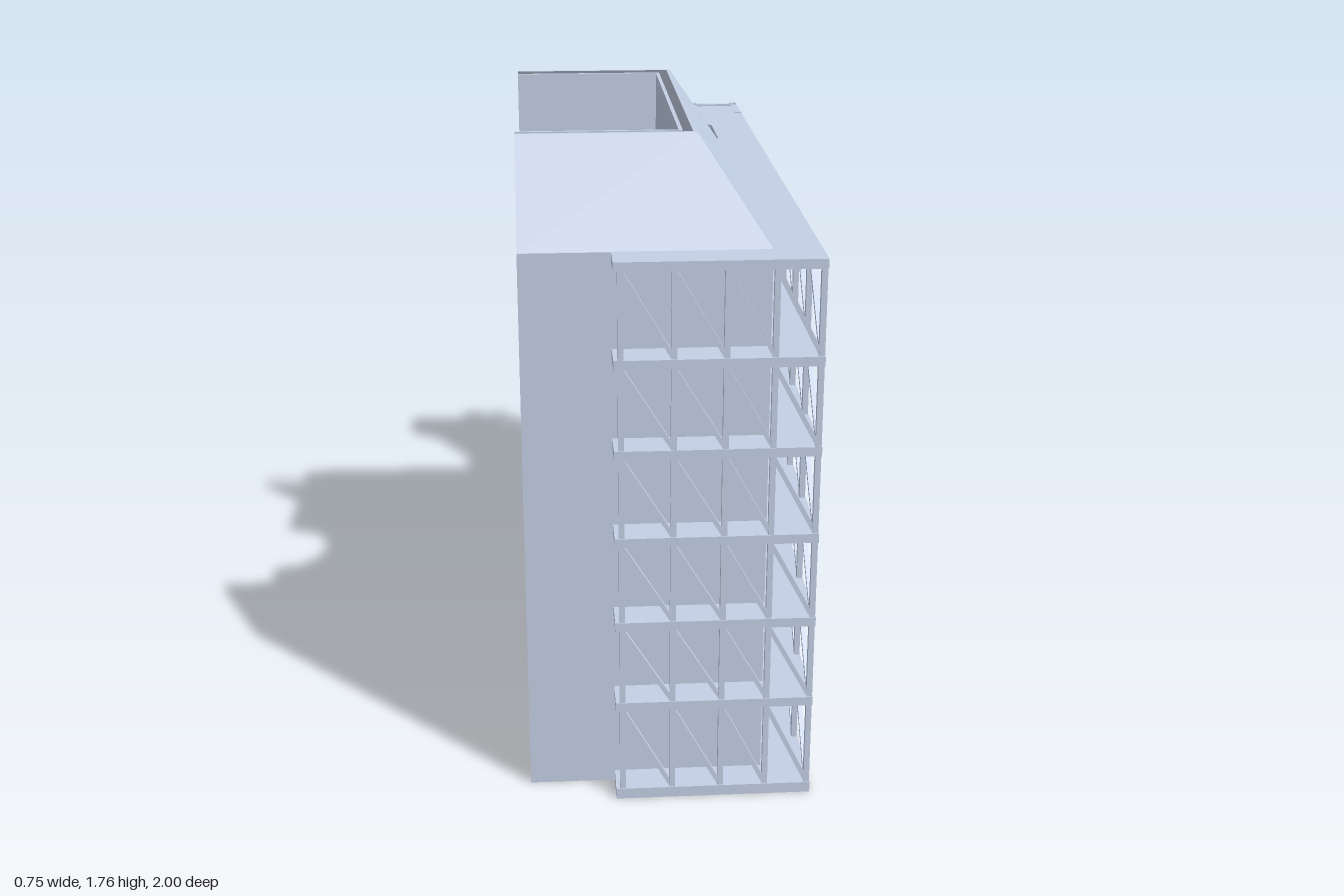
import * as THREE from 'three';
import { mergeGeometries } from 'three/addons/utils/BufferGeometryUtils.js';

const steel = new THREE.MeshStandardMaterial({ color: 0xc4d0e6, side: THREE.DoubleSide });
steel.name = 'paleBlueGrey';

const V = (x, y, z) => new THREE.Vector3(x, y, z);
const levels = [0.03, 0.293, 0.53, 0.77, 1.01, 1.25, 1.5]; // deck tops
const deckT = 0.025;

// square bar between two points
function rod(a, b, w = 0.012) {
  const g = new THREE.BoxGeometry(w, w, a.distanceTo(b));
  const o = new THREE.Object3D();
  o.position.copy(a).add(b).multiplyScalar(0.5);
  o.lookAt(b);
  o.updateMatrix();
  return g.applyMatrix4(o.matrix);
}

// box from min and max corners
function block(x0, x1, y0, y1, z0, z1) {
  return new THREE.BoxGeometry(x1 - x0, y1 - y0, z1 - z0)
    .translate((x0 + x1) / 2, (y0 + y1) / 2, (z0 + z1) / 2);
}

// horizontal plate from an outline in x and z
function plate(shape, top, t, seg = 8) {
  return new THREE.ExtrudeGeometry(shape, { depth: t, bevelEnabled: false, curveSegments: seg })
    .rotateX(Math.PI / 2).translate(0, top, 0);
}

const outline = (pts) => new THREE.Shape(pts.map((p) => new THREE.Vector2(p[0], p[1])));

// floor of the hall with a round bite out of its open side
function bitten(r) {
  const s = outline([[-0.38, -0.4], [0.25, -0.4], [0.25, 0.91], [-0.38, 0.91], [-0.38, 0.29 + r]]);
  s.absarc(-0.38, 0.29, r, Math.PI / 2, -Math.PI / 2, true);
  return s;
}

// sloped roof sheet: a U-shaped path lofted through rings
function roofSheet() {
  const ring = (y, x, zf, zb) => [V(-0.38, y, zf), V(x, y, zf), V(x, y, zb), V(-0.38, y, zb)];
  const rings = [
    ring(1.5, 0.25, 0.905, -0.325), ring(1.76, 0.075, 0.745, -0.18),
    ring(1.76, 0.065, 0.735, -0.17), ring(1.5, 0.238, 0.893, -0.313),
  ];
  const pos = [];
  for (let r = 0; r < 3; r++) {
    for (let i = 0; i < 3; i++) {
      const [a, b, c, d] = [rings[r][i], rings[r][i + 1], rings[r + 1][i + 1], rings[r + 1][i]];
      for (const p of [a, b, c, a, c, d]) pos.push(p.x, p.y, p.z);
    }
  }
  for (const i of [0, 3]) { // sheet ends on the open side
    const [a, b, c, d] = rings.map((q) => q[i]);
    const tris = i ? [a, b, c, a, c, d] : [a, c, b, a, d, c];
    for (const p of tris) pos.push(p.x, p.y, p.z);
  }
  const g = new THREE.BufferGeometry();
  g.setAttribute('position', new THREE.Float32BufferAttribute(pos, 3));
  g.computeVertexNormals();
  return g;
}

// box truss in n bays; P maps (along, side 0..1, y) to a point
function boxTruss(P, n, y0, y1) {
  const out = [], w = 0.011;
  for (const s of [0, 1]) {
    for (const y of [y0, y1]) out.push(rod(P(0, s, y), P(1, s, y), w));
    for (let i = 0; i <= n; i++) {
      out.push(rod(P(i / n, s, y0), P(i / n, s, y1), w));
      if (i < n) out.push(rod(P(i / n, s, y0), P((i + 1) / n, s, y1), w * 0.8));
    }
  }
  for (let i = 0; i <= n; i++) {
    for (const y of [y0, y1]) out.push(rod(P(i / n, 0, y), P(i / n, 1, y), w));
  }
  return out;
}

export function createModel() {
  const group = new THREE.Group();
  const add = (name, geos) => {
    const flat = geos.map((g) => {
      const n = g.index ? g.toNonIndexed() : g;
      n.deleteAttribute('uv');
      return n;
    });
    const m = new THREE.Mesh(mergeGeometries(flat), steel);
    m.name = name;
    group.add(m);
  };

  // hall shell, open on one long side
  add('hallWalls', [
    block(-0.38, 0.25, 0, 1.5, 0.898, 0.91),
    block(-0.38, 0.25, 0, 1.5, -0.4, -0.388),
    block(0.238, 0.25, 0, 1.5, -0.388, 0.898),
  ]);
  add('hallFloor', [plate(bitten(0.365), 0.055, 0.022, 8)]);
  add('roofDeck', [plate(bitten(0.16), 1.5, 0.02, 3)]);
  add('roofSlopes', [roofSheet()]);
  add('roofParapet', [
    block(-0.38, 0.04, 1.5, 1.76, 0.71, 0.72),
    block(-0.38, 0.04, 1.5, 1.76, -0.13, -0.12),
    block(0.03, 0.04, 1.5, 1.76, -0.12, 0.71),
  ]);

  // gallery decks wrapping the outside; the top one has no rear balcony
  const front = [[-0.15, 0.91], [-0.15, 1], [0.373, 1], [0.373, -0.95], [0, -0.95], [0, -0.8]];
  const lower = outline([...front, [0.18, -0.61], [0.18, -0.51], [-0.13, -0.51],
    [-0.13, -0.4], [0.25, -0.4], [0.25, 0.91]]);
  const upper = outline([...front, [0.25, -0.62], [0.25, 0.91]]);
  add('galleryDecks', levels.map((y, i) => plate(i < 6 ? lower : upper, y, i ? deckT : 0.03)));

  const facade = [], tower = [], landing = [];
  const xs = [-0.132, 0, 0.13, 0.25, 0.364];
  const zs = Array.from({ length: 9 }, (_, i) => 0.99 - i * 0.2225);
  for (let k = 0; k < 6; k++) {
    const y0 = levels[k], y1 = levels[k + 1] - deckT, ym = (y0 + y1) / 2;
    // front and side facades: posts with one diagonal per bay
    xs.forEach((x, i) => {
      facade.push(rod(V(x, y0, 0.99), V(x, y1, 0.99), 0.015));
      if (i < 4) facade.push(rod(V(x, y1, 0.99), V(xs[i + 1], y0, 0.99), 0.012));
    });
    zs.forEach((z, i) => {
      if (i) facade.push(rod(V(0.364, y0, z), V(0.364, y1, z), 0.015));
      if (i < 8) facade.push(rod(V(0.364, y0, z), V(0.364, y1, zs[i + 1]), 0.012));
    });
    // tower bracing: a cross on the end, a K on each long face
    tower.push(rod(V(0.222, y0, -0.99), V(0.363, y1, -0.99), 0.011));
    tower.push(rod(V(0.222, y1, -0.99), V(0.363, y0, -0.99), 0.011));
    for (const x of [0.222, 0.363]) {
      for (const y of [y0, y1]) tower.push(rod(V(x, y, -0.84), V(x, ym, -0.985), 0.011));
      tower.push(rod(V(x, ym, -0.84), V(x, ym, -0.985), 0.011));
    }
    // inner row of the landing bay, in line with the facade bay
    for (const z of [zs[7], zs[8]]) landing.push(rod(V(0.2, y0, z), V(0.2, y1, z), 0.014));
    landing.push(rod(V(0.2, y0, zs[7]), V(0.2, y1, zs[8]), 0.012));
  }
  add('facadeTrusses', facade);
  add('landingTruss', landing);

  // corner tower: four posts and a ring of beams at each deck
  for (const x of [0.222, 0.363]) {
    for (const z of [-0.989, -0.832]) tower.push(rod(V(x, 0, z), V(x, 1.504, z), 0.022));
  }
  for (const y of levels) {
    tower.push(block(0.211, 0.374, y - deckT, y, -1, -0.984));
    for (const x of [0.211, 0.352]) tower.push(block(x, x + 0.022, y - deckT, y, -0.984, -0.82));
  }
  add('cornerTower', tower);

  // trusses lining the three inner walls, in three tiers
  const inner = [];
  for (const y of [0.12, 0.51, 0.9]) {
    inner.push(...boxTruss((u, s, h) => V(0.15 - u * 0.4, h, 0.88 - s * 0.08), 3, y, y + 0.25));
    inner.push(...boxTruss((u, s, h) => V(0.15 - u * 0.4, h, -0.37 + s * 0.08), 3, y, y + 0.25));
    inner.push(...boxTruss((u, s, h) => V(0.225 - s * 0.075, h, -0.25 + u * 1.05), 8, y, y + 0.25));
  }
  add('innerTrusses', inner);

  // tall columns behind the inner trusses
  const cols = [];
  for (const x of [-0.2, 0.07]) {
    for (const z of [0.885, -0.375]) cols.push(rod(V(x, 0.04, z), V(x, 1.49, z), 0.02));
  }
  add('innerColumns', cols);

  return group;
}
